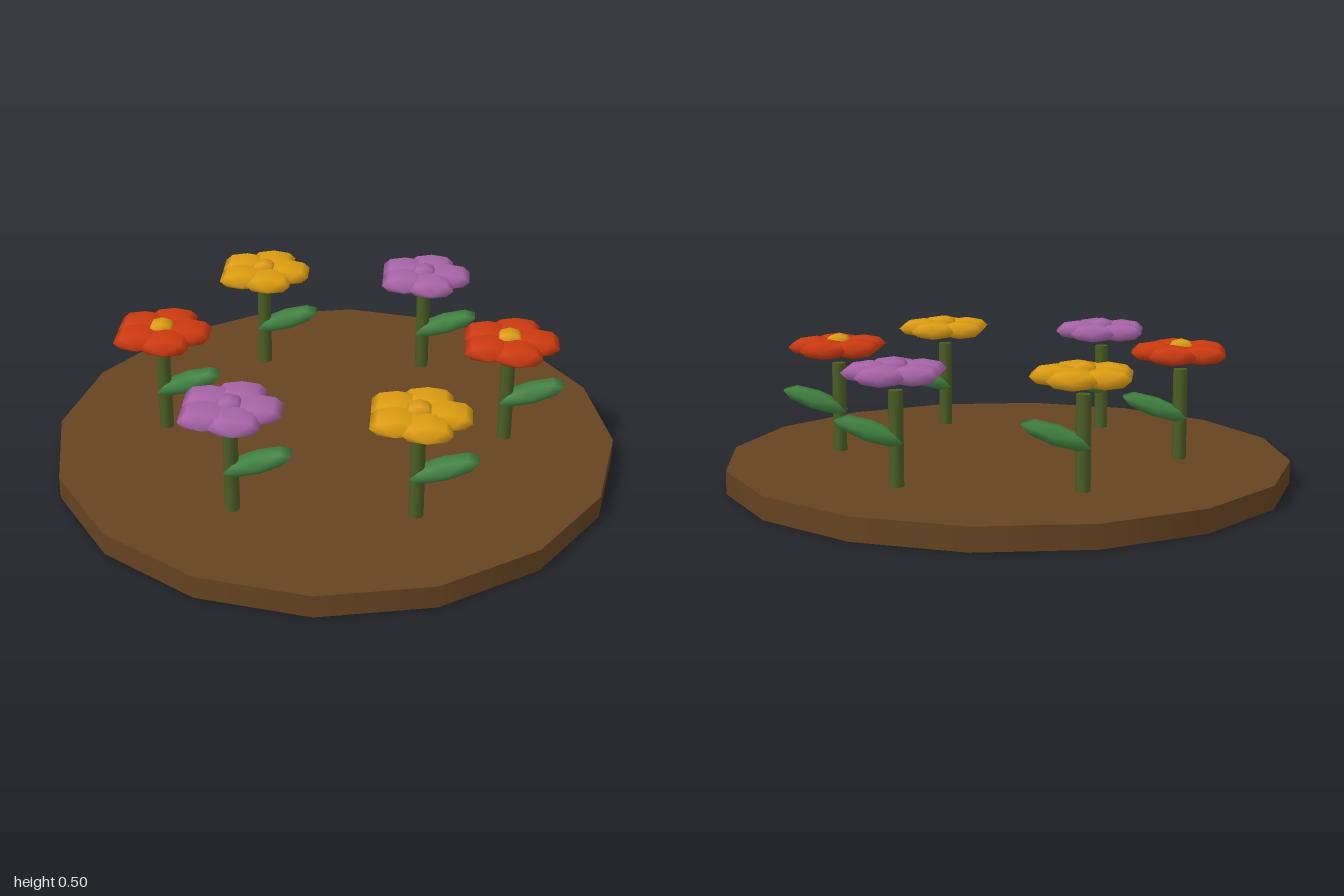
import * as THREE from 'three';

const makeMaterial = (name, color) => {
  const m = new THREE.MeshStandardMaterial({ color });
  m.name = name;
  return m;
};

export function createModel() {
  const soil = makeMaterial('soil brown', 0x654321);
  const stemGreen = makeMaterial('stem green', 0x4a5d23);
  const leafGreen = makeMaterial('leaf green', 0x3f7f3f);
  const red = makeMaterial('petal red', 0xcc3a10);
  const yellow = makeMaterial('petal yellow', 0xdc9c12);
  const purple = makeMaterial('petal purple', 0xa864a8);

  const model = new THREE.Group();
  model.name = 'flowerBed';

  const add = (parent, name, geometry, material, x, y, z) => {
    const mesh = new THREE.Mesh(geometry, material);
    mesh.name = name;
    mesh.position.set(x, y, z);
    parent.add(mesh);
    return mesh;
  };

  // Low-poly pod with its poles along z, hexagonal from above
  const pod = (halfX, halfY, halfZ) => {
    const ring = Math.sin(Math.PI / 3);
    return new THREE.SphereGeometry(1, 8, 3)
      .rotateX(Math.PI / 2)
      .scale(halfX / ring, halfY / ring, halfZ);
  };

  const stemGeometry = new THREE.CylinderGeometry(0.025, 0.025, 0.32, 8);
  const leafGeometry = pod(0.118, 0.03, 0.055);
  const petalGeometry = pod(0.082, 0.03, 0.0945);
  const centreGeometry = pod(0.043, 0.03, 0.05);

  // Round bed of soil
  add(model, 'soilBed', new THREE.CylinderGeometry(1, 1, 0.08, 16), soil, 0, 0.04, 0);

  // Six flowers in a ring, all facing the same way
  const petalColours = [red, yellow, purple];
  for (let i = 0; i < 6; i++) {
    const angle = (i * Math.PI) / 3;
    const petals = petalColours[i % 3];
    const flower = new THREE.Group();
    flower.name = 'flower';
    flower.position.set(0.61 * Math.cos(angle), 0, 0.61 * Math.sin(angle));
    model.add(flower);

    add(flower, 'stem', stemGeometry, stemGreen, 0, 0.24, 0);
    add(flower, 'leaf', leafGeometry, leafGreen, 0.088, 0.264, 0).rotation.z = 0.32;

    for (let p = 0; p < 5; p++) {
      const a = (p * Math.PI * 2) / 5;
      add(flower, 'petal', petalGeometry, petals, 0.09 * Math.cos(a), 0.46, 0.09 * Math.sin(a));
    }
    add(flower, 'flowerCentre', centreGeometry, petals === red ? yellow : petals, 0, 0.475, 0);
  }
  return model;
}
